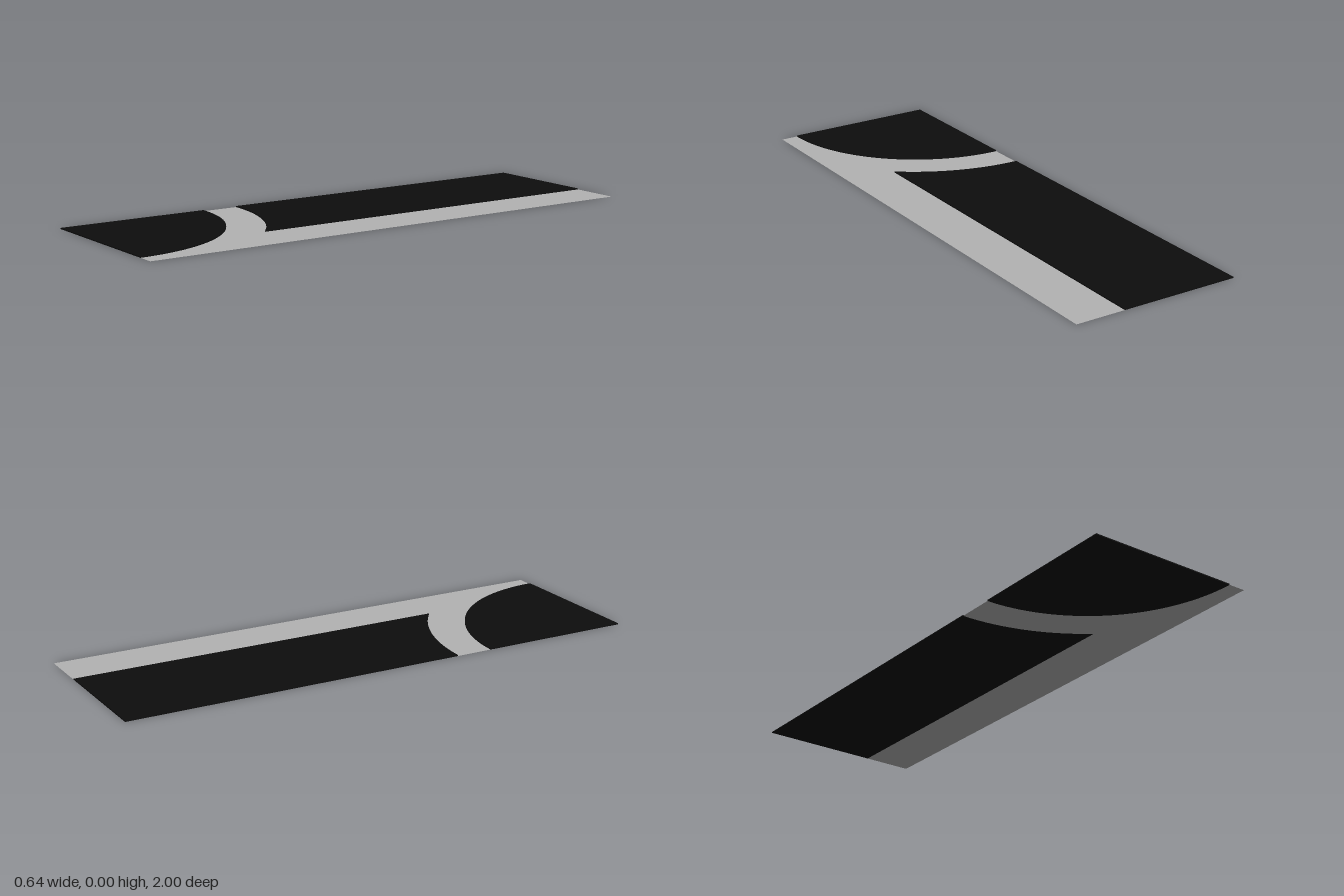
import * as THREE from 'three';

const W = 0.32;          // half width
const L = 1;             // half length
const SEAM = 0.13;       // edge between the long panel and the side strip
const R_IN = 0.575;      // inner radius of the curved band
const R_OUT = 0.715;     // outer radius of the curved band
const THICK = 0.004;

// Shapes are drawn as (x, -z); the arcs are centred on the front right corner.
const CX = -W, CY = -L;
const seamAngle = Math.acos((SEAM - CX) / R_OUT);

// Quarter disc at the front corner
function quarterShape() {
  const s = new THREE.Shape();
  s.moveTo(CX, CY);
  s.lineTo(CX + R_IN, CY);
  s.absarc(CX, CY, R_IN, 0, Math.PI / 2, false);
  s.closePath();
  return s;
}

// Long panel with a concave front end
function panelShape() {
  const s = new THREE.Shape();
  s.moveTo(SEAM, L);
  s.lineTo(-W, L);
  s.lineTo(CX, CY + R_OUT);
  s.absarc(CX, CY, R_OUT, Math.PI / 2, seamAngle, true);
  s.closePath();
  return s;
}

// Side strip joined to the curved band
function lineShape() {
  const s = new THREE.Shape();
  s.moveTo(CX + R_IN, CY);
  s.lineTo(W, -L);
  s.lineTo(W, L);
  s.lineTo(SEAM, L);
  s.lineTo(SEAM, CY + R_OUT * Math.sin(seamAngle));
  s.absarc(CX, CY, R_OUT, seamAngle, Math.PI / 2, false);
  s.lineTo(CX, CY + R_IN);
  s.absarc(CX, CY, R_IN, Math.PI / 2, 0, true);
  s.closePath();
  return s;
}

export function createModel() {
  const group = new THREE.Group();
  group.name = 'floorMarking';

  const black = new THREE.MeshStandardMaterial({ color: 0x0d0d0d });
  black.name = 'black';
  const grey = new THREE.MeshStandardMaterial({ color: 0xb2b2b2, side: THREE.DoubleSide });
  grey.name = 'grey';

  const add = (name, geometry, material) => {
    geometry.rotateX(-Math.PI / 2);
    const mesh = new THREE.Mesh(geometry, material);
    mesh.name = name;
    group.add(mesh);
  };
  const plate = (shape) =>
    new THREE.ExtrudeGeometry(shape, { depth: THICK, bevelEnabled: false, curveSegments: 40 });

  add('cornerPanel', plate(quarterShape()), black);
  add('longPanel', plate(panelShape()), black);
  add('curvedBandAndStrip', new THREE.ShapeGeometry(lineShape(), 40), grey);
  return group;
}
